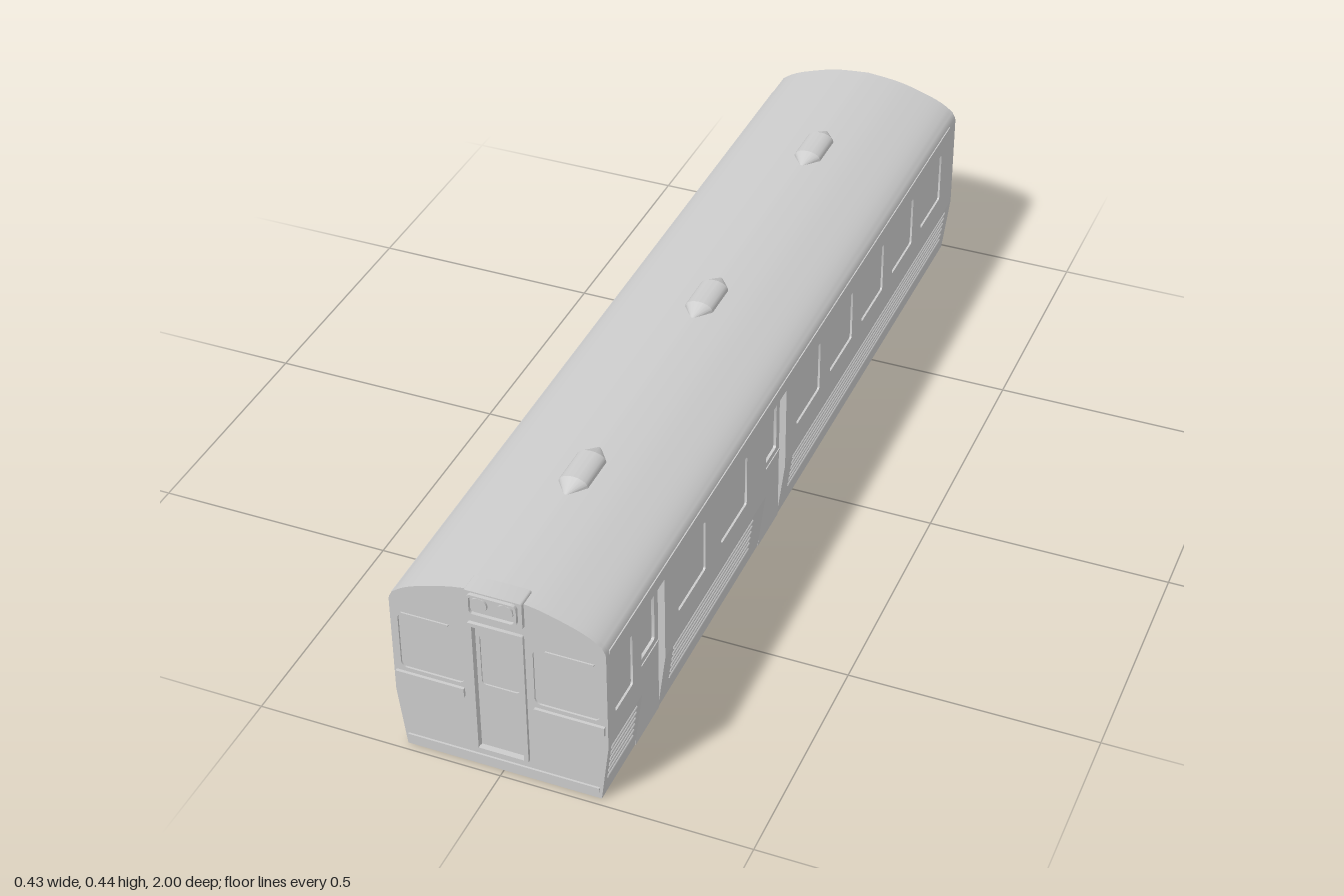
import * as THREE from 'three';
import { toCreasedNormals } from 'three/addons/utils/BufferGeometryUtils.js';

const grey = new THREE.MeshStandardMaterial({ color: 0xcccccc });
const FRONT = 0.984, BACK = -0.993, MID = (FRONT + BACK) / 2, HALF = (FRONT - BACK) / 2;
const DOORS = [[0.72, 0.83], [0.09, 0.2]];
const WINDOWS = [[0.87, 0.95], [0.52, 0.655], [0.305, 0.44],
  ...[0, 1, 2, 3, 4].map(i => [-0.108 - i * 0.198, 0.027 - i * 0.198])];

function add(parent, name, geometry, x = 0, y = 0, z = 0) {
  const mesh = new THREE.Mesh(geometry, grey);
  mesh.name = name;
  mesh.position.set(x, y, z);
  parent.add(mesh);
  return mesh;
}

// Box given by its limits on each axis
function box(parent, name, x0, x1, y0, y1, z0, z1) {
  return add(parent, name, new THREE.BoxGeometry(x1 - x0, y1 - y0, z1 - z0),
    (x0 + x1) / 2, (y0 + y1) / 2, (z0 + z1) / 2);
}

// Rectangle with rounded corners
function rect(x0, x1, y0, y1, r = 0) {
  const s = new THREE.Shape();
  if (!r) {
    s.moveTo(x0, y0).lineTo(x1, y0).lineTo(x1, y1).lineTo(x0, y1).closePath();
    return s;
  }
  s.absarc(x1 - r, y0 + r, r, -Math.PI / 2, 0);
  s.absarc(x1 - r, y1 - r, r, 0, Math.PI / 2);
  s.absarc(x0 + r, y1 - r, r, Math.PI / 2, Math.PI);
  s.absarc(x0 + r, y0 + r, r, Math.PI, Math.PI * 1.5);
  s.closePath();
  return s;
}

function extrude(shape, depth, holes = []) {
  shape.holes.push(...holes);
  const g = new THREE.ExtrudeGeometry(shape, { depth, bevelEnabled: false, curveSegments: 6 });
  return toCreasedNormals(g, 0.5);
}

// Half of the arched roof, from the right eave to the crown
const eave = [[0.213, 0.345], [0.212, 0.353], [0.205, 0.366]];
const arch = new THREE.SplineCurve([[0.205, 0.366], [0.18, 0.383], [0.14, 0.399], [0.075, 0.417], [0, 0.425]]
  .map(p => new THREE.Vector2(...p))).getPoints(14).slice(1).map(p => [p.x, p.y]);
const half = [...eave, ...arch];
const roofLine = [...half, ...half.slice(0, -1).reverse().map(([x, y]) => [-x, y])];
const outline = pts => new THREE.Shape(pts.map(p => new THREE.Vector2(...p)));

// Side wall: s = 1 for +x, -1 for -x
function sideWall(s) {
  const g = new THREE.Group();
  g.name = s > 0 ? 'leftSide' : 'rightSide';
  const span = (z0, z1) => s > 0 ? [-z1, -z0] : [z0, z1];
  // Flat panel in the z-y plane, growing outward from |x| = base
  const panel = (name, shape, base, depth, holes) => {
    add(g, name, extrude(shape, depth, holes), s * base).rotation.y = s * Math.PI / 2;
  };
  const xbox = (name, a, b, ...rest) => box(g, name, Math.min(s * a, s * b), Math.max(s * a, s * b), ...rest);

  // Upper wall with window openings, split at the door bays
  const segments = [[DOORS[0][1], FRONT - 0.01], [DOORS[1][1], DOORS[0][0]], [BACK + 0.01, DOORS[1][0]]];
  const ribs = [[0.855, 0.97], [0.27, 0.68], [-0.95, 0.045]];
  segments.forEach(([z0, z1], i) => {
    const holes = WINDOWS.filter(w => w[0] > z0 && w[1] < z1).map(w => rect(...span(...w), 0.19, 0.308, 0.006));
    panel('upperWall', rect(...span(z0, z1), 0.13, 0.345), 0.193, 0.02, holes);
    const lower = [[0.19, 0], [0.197, 0], [0.213, 0.13], [0.19, 0.13]].map(([x, y]) => [s * x, y]);
    add(g, 'lowerWall', extrude(outline(lower), z1 - z0), 0, 0, z0);
    // Corrugated ribs
    const [r0, r1] = ribs[i];
    for (let k = 0; k < 6; k++) {
      const y = 0.046 + k * 0.015, x = 0.197 + 0.016 * y / 0.13;
      const rib = add(g, 'rib', new THREE.CylinderGeometry(0.0035, 0.0035, r1 - r0, 8), s * (x - 0.0005), y, (r0 + r1) / 2);
      rib.rotation.x = Math.PI / 2;
    }
  });
  // Window panes with a fine inner rim
  for (const w of WINDOWS) {
    xbox('sideWindow', 0.193, 0.2085, 0.185, 0.313, w[0] - 0.003, w[1] + 0.003);
  }
  // Sunken side doors: upright leaves that meet the sloping wall at the bottom
  for (const [z0, z1] of DOORS) {
    const c = (z0 + z1) / 2;
    const glass = rect(...span(c - 0.038, c + 0.038), 0.185, 0.298, 0.006);
    panel('sideDoor', rect(...span(z0, z1), 0.01, 0.32), 0.192, 0.007, [glass]);
    xbox('doorHeader', 0.19, 0.213, 0.32, 0.345, z0, z1);
    xbox('doorSill', 0.185, 0.1985, 0, 0.012, z0, z1);
    xbox('doorRail', 0.195, 0.201, 0.168, 0.172, z0, z1);
  }
  // Rain gutter
  xbox('gutter', 0.208, 0.2145, 0.343, 0.352, -0.95, 0.97);
  return g;
}

// End wall with its outer face at local z = 0
function endWall(name) {
  const g = new THREE.Group();
  g.name = name;
  const section = outline([[-0.213, 0.13], [-0.197, 0], [0.197, 0], [0.213, 0.13], ...roofLine]);
  const holes = [rect(-0.046, 0.046, 0.045, 0.34)];
  for (const s of [-1, 1]) {
    const [a, b] = s > 0 ? [0.07, 0.198] : [-0.198, -0.07];
    holes.push(rect(a, b, 0.19, 0.318, 0.012));
    box(g, 'endWindow', a - 0.002, b + 0.002, 0.188, 0.32, -0.012, -0.004);
    const [c, d] = s > 0 ? [0.07, 0.208] : [-0.208, -0.07];
    box(g, 'sillBar', c, d, 0.161, 0.181, -0.002, 0.006);
    box(g, 'windowLintel', s * 0.1425 - 0.0475, s * 0.1425 + 0.0475, 0.32, 0.323, -0.002, 0.003);
  }
  add(g, 'endPanel', extrude(section, 0.01, holes), 0, 0, -0.01);
  // Gangway door, its glass opening and the raised frame
  const leaf = rect(-0.046, 0.046, 0.045, 0.34);
  add(g, 'endDoor', extrude(leaf, 0.005, [rect(-0.038, 0.037, 0.195, 0.313, 0.008)]), 0, 0, -0.012);
  const frame = rect(-0.055, 0.055, 0.043, 0.347, 0.004);
  add(g, 'doorFrame', extrude(frame, 0.009, [rect(-0.046, 0.046, 0.047, 0.339)]), 0, 0, -0.002);
  box(g, 'bottomBar', -0.194, 0.194, 0.016, 0.027, -0.002, 0.004);
  return g;
}

export function createModel() {
  const model = new THREE.Group();
  model.name = 'railCar';

  // Inner core, floor and roof
  box(model, 'core', -0.193, 0.193, 0, 0.346, BACK + 0.01, FRONT - 0.01);
  add(model, 'roof', extrude(outline(roofLine), HALF * 2 - 0.02), 0, 0, BACK + 0.01);
  model.add(sideWall(1), sideWall(-1));

  const front = endWall('frontEnd');
  front.position.z = FRONT;
  const back = endWall('backEnd');
  back.position.z = BACK;
  back.rotation.y = Math.PI;
  model.add(front, back);

  // Twin headlight housing
  const lamp = new THREE.Group();
  lamp.name = 'headlight';
  add(lamp, 'housing', extrude(rect(-0.057, 0.057, 0.365, 0.425, 0.005), 0.043), 0, 0, 0.95);
  add(lamp, 'bezel', extrude(rect(-0.049, 0.049, 0.375, 0.422, 0.01), 0.007,
    [rect(-0.044, 0.044, 0.379, 0.418, 0.008)]), 0, 0, 0.993);
  for (const s of [-1, 1]) {
    add(lamp, 'lamp', new THREE.CylinderGeometry(0.016, 0.016, 0.006, 24), s * 0.0255, 0.4, 0.995)
      .rotation.x = Math.PI / 2;
  }
  model.add(lamp);

  // Roof ventilators: rounded bodies with pointed ends
  const profile = [[0, -0.082], [0.03, -0.042], [0.03, 0.042], [0, 0.082]].map(p => new THREE.Vector2(...p));
  for (const z of [0.603, -0.012, -0.637]) {
    const vent = toCreasedNormals(new THREE.LatheGeometry(profile, 20), 0.5);
    vent.rotateX(Math.PI / 2).scale(1, 0.6, 1);
    add(model, 'roofVent', vent, 0, 0.423, z);
  }
  return model;
}
